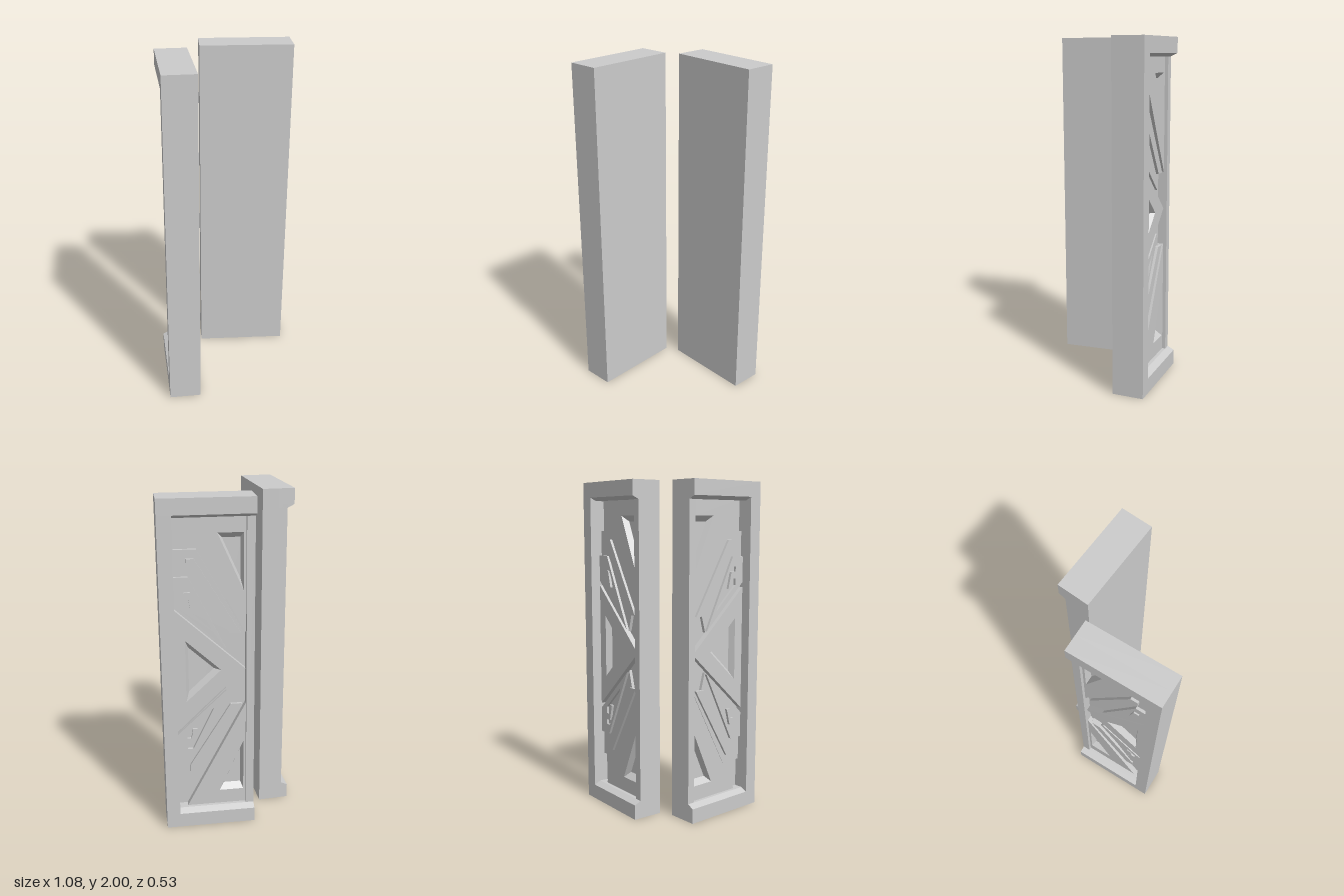
import * as THREE from 'three';

const W = 0.537, T = 0.185, H = 2;     // panel width, thickness, height
const FLOOR = -0.095, PLATE = -0.06, LOW = -0.076, LIP = -0.04; // levels below the carved face
const OUTER = 0.08, STRIP = 0.49;      // edges of the carved field
const LINTEL = 0.09, SLOPE = 0.02;     // top and bottom frame rails

const mat = new THREE.MeshStandardMaterial({ color: 0xcccccc, flatShading: true });
const thin = new THREE.MeshStandardMaterial({ color: 0xcccccc, flatShading: true, side: THREE.DoubleSide });

// One panel: u runs from the outer end to the inner end, side mirrors it
function makePanel(name, side) {
  const g = new THREE.Group();
  g.name = name;
  const add = (geo, n, m = mat) => {
    const mesh = new THREE.Mesh(geo, m);
    mesh.name = n;
    g.add(mesh);
    return mesh;
  };
  const vec = (pts) => pts.map(([u, y]) => new THREE.Vector2(u * side, y));
  const block = (n, u0, u1, y0, y1, z0, z1) => {
    add(new THREE.BoxGeometry(u1 - u0, y1 - y0, z1 - z0), n)
      .position.set(side * (u0 + u1) / 2, (y0 + y1) / 2, (z0 + z1) / 2);
  };
  // flat plate with optional cut-out, from z0 up to z1
  const plate = (n, pts, z0, z1, hole) => {
    const s = new THREE.Shape(vec(pts));
    if (hole) s.holes.push(new THREE.Path(vec(hole)));
    const geo = new THREE.ExtrudeGeometry(s, { depth: z1 - z0, bevelEnabled: false });
    geo.translate(0, 0, z0);
    add(geo, n);
  };
  // sloping walls inside a cut-out
  const funnel = (n, pts, k, z0, z1) => {
    const p = vec(pts), c = new THREE.Vector2(), pos = [];
    p.forEach((q) => c.addScaledVector(q, 1 / p.length));
    const low = p.map((q) => c.clone().lerp(q, k));
    p.forEach((a, i) => {
      const j = (i + 1) % p.length, b = p[j], d = low[i], e = low[j];
      pos.push(a.x, a.y, z1, b.x, b.y, z1, e.x, e.y, z0, a.x, a.y, z1, e.x, e.y, z0, d.x, d.y, z0);
    });
    const geo = new THREE.BufferGeometry();
    geo.setAttribute('position', new THREE.Float32BufferAttribute(pos, 3));
    geo.computeVertexNormals();
    add(geo, n, thin);
  };

  // solid slab, outer post and low inner strip
  block('slab', 0, W, 0, H, -T, FLOOR);
  block('outerPost', 0, OUTER, LINTEL, H - LINTEL, FLOOR, 0);
  block('innerStrip', STRIP, W, LINTEL, H - LINTEL, FLOOR, LIP);

  // rails with a sloping inner face, the top one mirrored from the bottom
  for (const top of [false, true]) {
    const fy = (y) => (top ? H - y : y);
    const s = new THREE.Shape([
      [-FLOOR, 0], [0, 0], [0, LINTEL], [-LIP, LINTEL + SLOPE], [-FLOOR, LINTEL + SLOPE],
    ].map(([d, y]) => new THREE.Vector2(d, fy(y))));
    const geo = new THREE.ExtrudeGeometry(s, { depth: W, bevelEnabled: false });
    geo.rotateY(Math.PI / 2);
    if (side < 0) geo.translate(-W, 0, 0);
    add(geo, top ? 'topRail' : 'bottomRail');
  }

  // central triangle with a sunken middle
  const mid = [[0.14, 1.19], [0.345, 1], [0.14, 0.81]];
  plate('centreTriangle', [[OUTER, 1.375], [0.487, 1], [OUTER, 0.625]], FLOOR, PLATE, mid);
  funnel('centrePocket', mid, 0.72, FLOOR, PLATE);

  // carvings repeated above and below the centre
  for (const up of [true, false]) {
    const f = (pts) => pts.map(([u, y]) => [u, up ? y : 2 - y]);
    const pocket = f([[0.33, 1.8], [0.476, 1.8], [0.476, 1.47]]);
    plate('cornerTriangle', f([[0.13, 1.895], [STRIP, 1.895], [STRIP, 1.22]]), FLOOR, PLATE, pocket);
    funnel('cornerPocket', pocket, 0.7, FLOOR, PLATE);
    plate('carvedBase',
      f([[OUTER, 1.71], [0.215, 1.71], [0.47, 1.23], [0.405, 1.23], [0.375, 1.12], [OUTER, 1.405]]),
      FLOOR, LOW);
    plate('diagonalBar',
      f([[0.155, 1.66], [0.2, 1.66], [0.46, 1.22], [0.4, 1.22], [0.155, 1.61]]), LOW, PLATE);
    plate('innerBand',
      f([[OUTER, 1.56], [0.165, 1.56], [0.375, 1.13], [OUTER, 1.405]]), LOW, PLATE,
      f([[0.14, 1.5], [0.175, 1.5], [0.3, 1.24], [0.14, 1.39]]));
    plate('hook',
      f([[0.14, 1.47], [0.175, 1.47], [0.2, 1.37], [0.175, 1.37], [0.165, 1.43], [0.14, 1.43]]), LOW, PLATE);
  }
  return g;
}

export function createModel() {
  const model = new THREE.Group();
  model.name = 'carvedPanels';

  const left = makePanel('leftPanel', 1);
  left.position.set(0.54, 0, 0.135);
  left.rotation.y = Math.atan2(0.716, -0.698);

  const right = makePanel('rightPanel', -1);
  right.position.set(-0.54, 0, 0.135);
  right.rotation.y = Math.atan2(-0.748, -0.664);

  model.add(left, right);
  return model;
}
